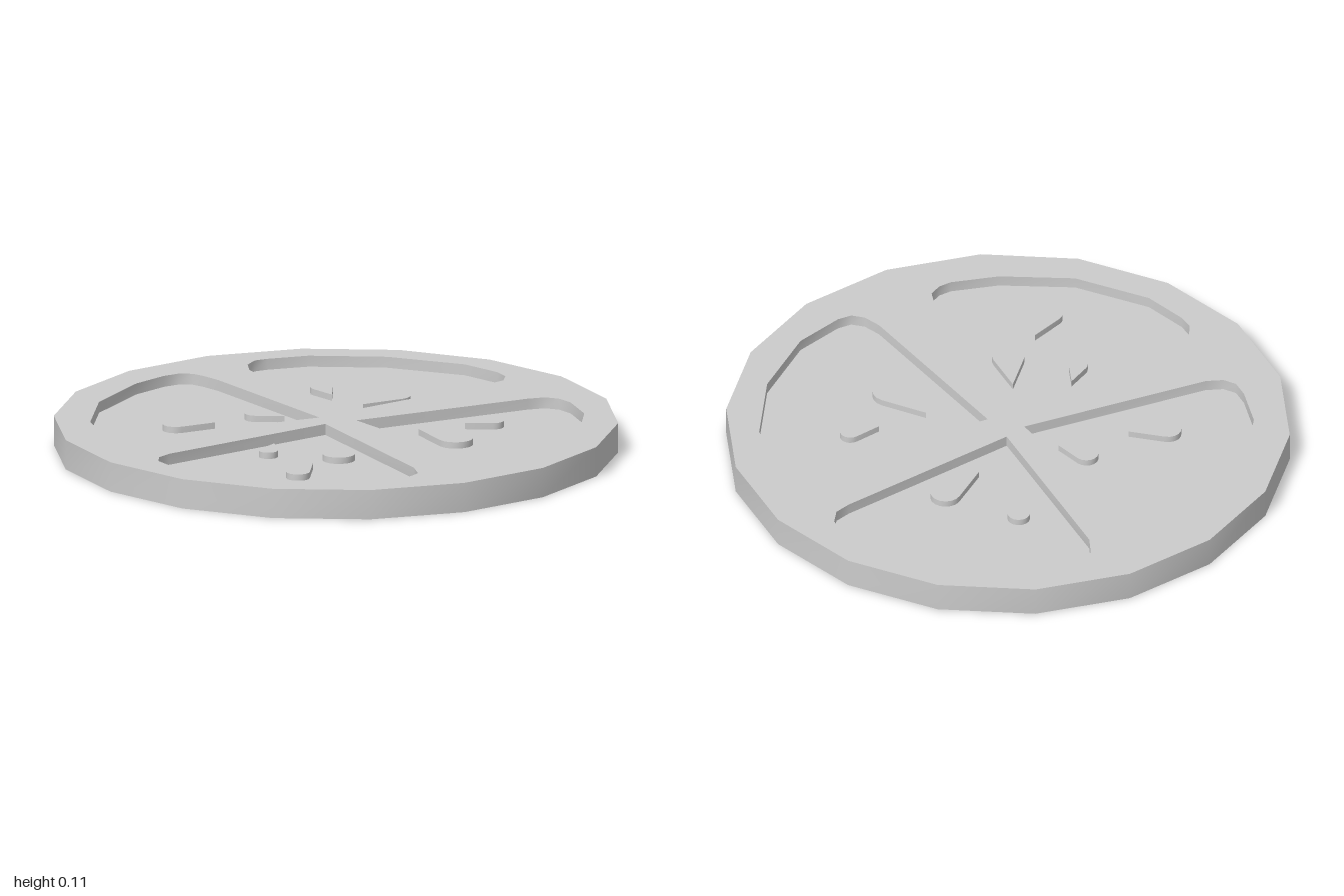
import * as THREE from 'three';
import { mergeGeometries, toCreasedNormals } from 'three/addons/utils/BufferGeometryUtils.js';

const HEIGHT = 0.107, FLOOR = 0.067, SEED_TOP = 0.09;
const V = (x, z) => new THREE.Vector2(x, -z);
const outline = (list) => {
  const pts = list.map(([x, z]) => V(x, z));
  return THREE.ShapeUtils.isClockWise(pts) ? pts.reverse() : pts;
};

// Flat horizontal face at height y, facing up or down
function cap(pts, y, holes = [], down = false) {
  const shape = new THREE.Shape(pts);
  shape.holes = holes.map((h) => new THREE.Path(h));
  const g = new THREE.ShapeGeometry(shape).toNonIndexed();
  g.rotateX(-Math.PI / 2);
  if (down) g.rotateZ(Math.PI);
  g.translate(0, y, 0);
  g.deleteAttribute('uv');
  g.deleteAttribute('normal');
  return g;
}

// Vertical band along a closed outline, facing outward or inward
function wall(pts, y0, y1, inward = false) {
  const pos = [];
  pts.forEach((p, i) => {
    const q = pts[(i + 1) % pts.length];
    const [a, b] = inward ? [q, p] : [p, q];
    pos.push(a.x, y0, -a.y, b.x, y0, -b.y, b.x, y1, -b.y);
    pos.push(a.x, y0, -a.y, b.x, y1, -b.y, a.x, y1, -a.y);
  });
  const g = new THREE.BufferGeometry();
  g.setAttribute('position', new THREE.Float32BufferAttribute(pos, 3));
  return g;
}

// Teardrop: pointed tip with tangents onto a round end
function teardrop(cx, cz, r, tx, tz) {
  const dir = Math.atan2(tz - cz, tx - cx);
  const open = Math.acos(r / Math.hypot(tx - cx, tz - cz));
  const list = [[tx, tz]];
  for (let i = 0; i <= 10; i++) {
    const a = dir + open + (i / 10) * (2 * Math.PI - 2 * open);
    list.push([cx + r * Math.cos(a), cz + r * Math.sin(a)]);
  }
  return outline(list);
}

// Wedge-shaped pockets, each starting at its tip near the centre
const POCKETS = [
  [[-0.04, -0.05], [-0.12, -0.68], [-0.14, -0.755], [-0.16, -0.8], [-0.205, -0.825], [-0.265, -0.82],
    [-0.4, -0.77], [-0.635, -0.6], [-0.79, -0.365], [-0.825, -0.21], [-0.825, -0.145], [-0.795, -0.105], [-0.735, -0.083]],
  [[0.042, -0.077], [0.042, -0.755], [0.07, -0.825], [0.12, -0.867], [0.17, -0.867], [0.32, -0.84],
    [0.56, -0.7], [0.757, -0.48], [0.81, -0.33], [0.81, -0.268], [0.778, -0.22], [0.72, -0.2]],
  [[-0.063, 0.04], [-0.063, 0.73], [-0.085, 0.804], [-0.127, 0.83], [-0.175, 0.835], [-0.344, 0.793],
    [-0.582, 0.666], [-0.767, 0.448], [-0.82, 0.294], [-0.825, 0.236], [-0.8, 0.188], [-0.746, 0.162]],
  [[0.058, 0.045], [0.164, 0.714], [0.19, 0.777], [0.228, 0.809], [0.28, 0.809], [0.455, 0.75],
    [0.672, 0.57], [0.82, 0.326], [0.847, 0.167], [0.836, 0.103], [0.8, 0.061], [0.735, 0.05]],
].map(outline);

// Seeds: centre x, z, radius, tip x, z
const SEEDS = [
  [-0.503, -0.262, 0.047, -0.37, -0.215], [-0.18, -0.268, 0.042, -0.111, -0.183],
  [0.19, -0.485, 0.04, 0.175, -0.374], [0.37, -0.262, 0.054, 0.212, -0.204],
  [-0.381, 0.22, 0.034, -0.317, 0.141], [-0.18, 0.374, 0.058, -0.122, 0.215],
  [-0.423, 0.533, 0.042, -0.317, 0.443], [0.288, 0.367, 0.062, 0.228, 0.194],
  [0.518, 0.21, 0.037, 0.413, 0.194],
];

export function createModel() {
  const group = new THREE.Group();
  group.name = 'citrusSlice';
  const material = new THREE.MeshStandardMaterial({ color: 0xcccccc });
  const add = (name, parts) => {
    const mesh = new THREE.Mesh(toCreasedNormals(mergeGeometries(parts), 0.8), material);
    mesh.name = name;
    group.add(mesh);
  };

  // Eighteen-sided rind with the wedges cut out of its top
  const rim = outline(Array.from({ length: 18 }, (_, i) => {
    const a = (i / 18) * Math.PI * 2;
    return [Math.sin(a), Math.cos(a)];
  }));
  add('rind', [
    cap(rim, 0, [], true),
    wall(rim, 0, HEIGHT),
    cap(rim, HEIGHT, POCKETS),
  ]);

  // Recessed segments: floor and inward-facing walls
  POCKETS.forEach((p, i) => add(`segment${i + 1}`, [cap(p, FLOOR), wall(p, FLOOR, HEIGHT, true)]));

  // Raised seeds on the segment floors
  SEEDS.forEach((s, i) => {
    const p = teardrop(...s);
    add(`seed${i + 1}`, [cap(p, SEED_TOP), wall(p, FLOOR, SEED_TOP)]);
  });
  return group;
}
